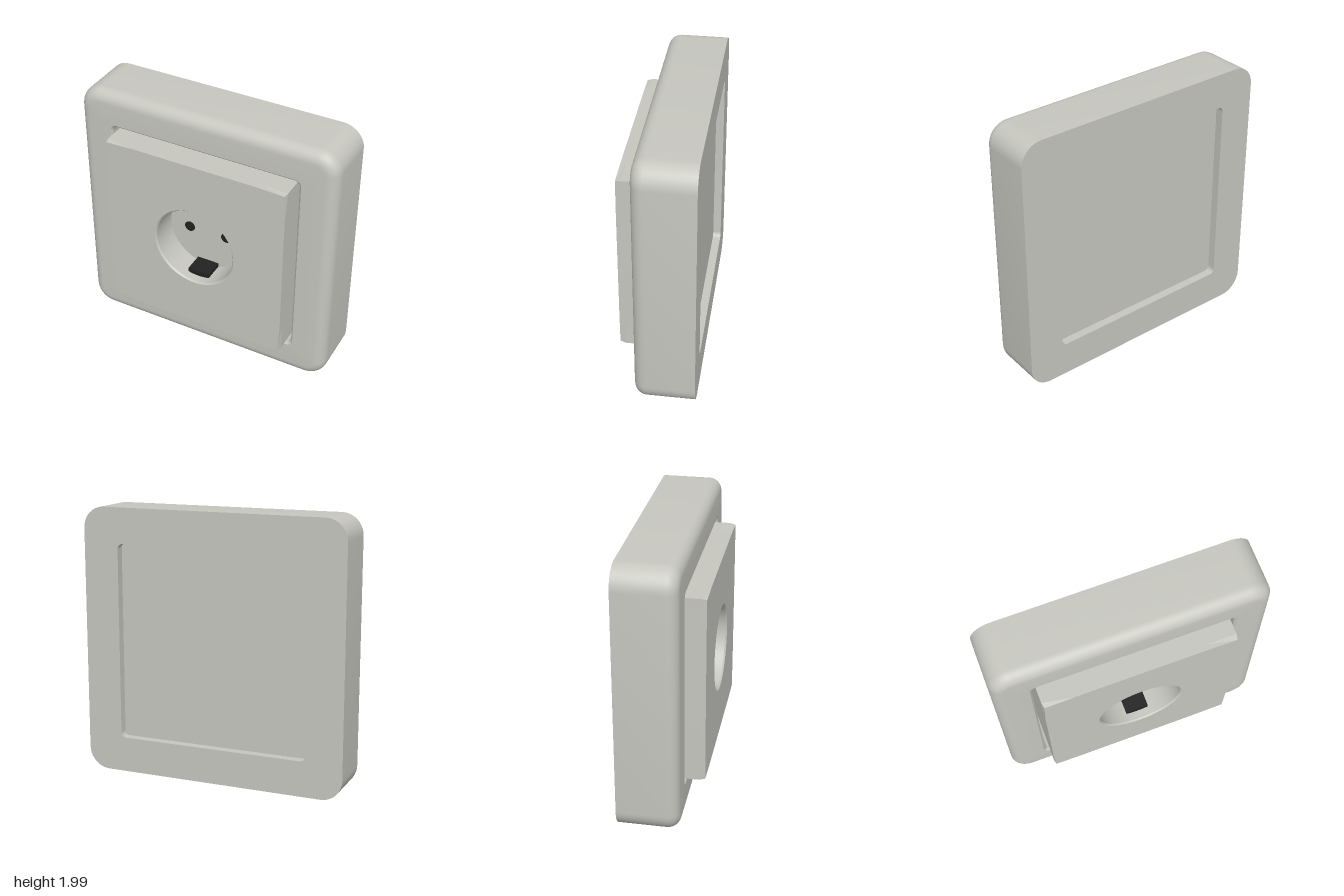
import * as THREE from 'three';
import { toCreasedNormals } from 'three/addons/utils/BufferGeometryUtils.js';

const CENTER_Y = 0.993;

// Rounded-rectangle loop, counter-clockwise seen from the front
function roundedLoop(halfW, halfH, r, z, seg = 10) {
  const pts = [];
  const corners = [[1, 1], [-1, 1], [-1, -1], [1, -1]];
  corners.forEach(([sx, sy], k) => {
    for (let i = 0; i <= seg; i++) {
      const a = (k + i / seg) * Math.PI / 2;
      pts.push([sx * (halfW - r) + r * Math.cos(a), sy * (halfH - r) + r * Math.sin(a), z]);
    }
  });
  return pts;
}

// Skin over a list of loops; the last loop joins the first
function closedLoft(loops) {
  const n = loops[0].length, pos = loops.flat(2), idx = [];
  for (let s = 0; s < loops.length; s++) {
    const t = (s + 1) % loops.length;
    for (let i = 0; i < n; i++) {
      const j = (i + 1) % n;
      const a = s * n + i, b = s * n + j, c = t * n + j, d = t * n + i;
      idx.push(a, b, c, a, c, d);
    }
  }
  const g = new THREE.BufferGeometry();
  g.setAttribute('position', new THREE.Float32BufferAttribute(pos, 3));
  g.setIndex(idx);
  return toCreasedNormals(g, 0.6);
}

export function createModel() {
  const model = new THREE.Group();
  model.name = 'wallSocket';
  const body = new THREE.Group();
  body.position.y = CENTER_Y;
  model.add(body);

  const plastic = new THREE.MeshStandardMaterial({ color: 0xc6c6bf });
  plastic.name = 'warm grey plastic';
  const black = new THREE.MeshStandardMaterial({ color: 0x222222 });
  black.name = 'black contact';

  const add = (name, geometry, material) => {
    const mesh = new THREE.Mesh(geometry, material);
    mesh.name = name;
    body.add(mesh);
    return mesh;
  };

  // Frame: sharp at the back, rounded over at the front, chamfered opening
  const back = -0.29, front = 0.15, round = 0.09;
  const loops = [roundedLoop(0.73, 0.73, 0.04, back), roundedLoop(1, CENTER_Y, 0.16, back)];
  for (let i = 0; i <= 8; i++) {
    const a = i / 8 * Math.PI / 2, inset = round * (1 - Math.cos(a));
    loops.push(roundedLoop(1 - inset, CENTER_Y - inset, 0.16 - inset, front - round + round * Math.sin(a)));
  }
  loops.push(roundedLoop(0.745, 0.745, 0.05, front));
  loops.push(roundedLoop(0.73, 0.73, 0.04, front - 0.015));
  add('frame', closedLoft(loops), plastic);

  // Panel closing the opening at the back
  const panel = new THREE.BoxGeometry(1.455, 1.455, 0.06);
  panel.translate(0, 0, -0.2);
  add('backPanel', panel, plastic);

  // Cover plate with a round opening and front edges easing in at the corners
  const H = 0.7, E = 0.48, zBack = -0.18, zFront = 0.29;
  const outline = new THREE.Shape();
  [[H, -H], [H, -E], [H, E], [H, H], [E, H], [-E, H], [-H, H], [-H, E], [-H, -E], [-H, -H], [-E, -H], [E, -H]]
    .forEach(([x, y], i) => (i ? outline.lineTo(x, y) : outline.moveTo(x, y)));
  outline.holes.push(new THREE.Path().absarc(0, 0, 0.32, 0, Math.PI * 2, true));
  const plate = new THREE.ExtrudeGeometry(outline, { depth: 1, steps: 2, bevelEnabled: false, curveSegments: 32 });
  const p = plate.attributes.position;
  for (let i = 0; i < p.count; i++) {
    const x = p.getX(i), y = p.getY(i), z = p.getZ(i);
    const atCorner = z > 0.9 && Math.abs(x) > 0.69 && Math.abs(y) > 0.69;
    const k = atCorner ? 0.988 : 1;
    p.setXYZ(i, x * k, y * k, z < 0.1 ? zBack : z > 0.9 ? zFront : 0.25);
  }
  add('coverPlate', toCreasedNormals(plate, 0.15), plastic);

  // Round well with a chamfered rim
  const floorZ = 0.07;
  const profile = [[0.32, zFront], [0.31, zFront - 0.012], [0.31, floorZ], [0, floorZ]]
    .map(([r, y]) => new THREE.Vector2(r, y));
  const well = new THREE.LatheGeometry(profile, 64);
  well.rotateX(Math.PI / 2);
  add('socketWell', toCreasedNormals(well, 0.5), plastic);

  // Pin holes
  for (const side of [-1, 1]) {
    const pin = new THREE.CylinderGeometry(0.04, 0.04, 0.008, 32);
    pin.rotateX(Math.PI / 2);
    pin.translate(side * 0.15, 0, floorZ + 0.003);
    add(side > 0 ? 'leftPinHole' : 'rightPinHole', pin, black);
  }

  // Earth clips: flat inside, following the well wall outside
  const clipHalf = 0.085, clipR = 0.308;
  const a0 = Math.acos(clipHalf / clipR);
  const clipShape = new THREE.Shape();
  clipShape.moveTo(-clipHalf, 0.265);
  clipShape.lineTo(clipHalf, 0.265);
  clipShape.absarc(0, 0, clipR, a0, Math.PI - a0, false);
  clipShape.closePath();
  for (const side of [1, -1]) {
    const clip = new THREE.ExtrudeGeometry(clipShape, { depth: 0.15, bevelEnabled: false });
    clip.translate(0, 0, floorZ);
    if (side < 0) clip.rotateZ(Math.PI);
    add(side > 0 ? 'topEarthClip' : 'bottomEarthClip', clip, black);
  }

  return model;
}
